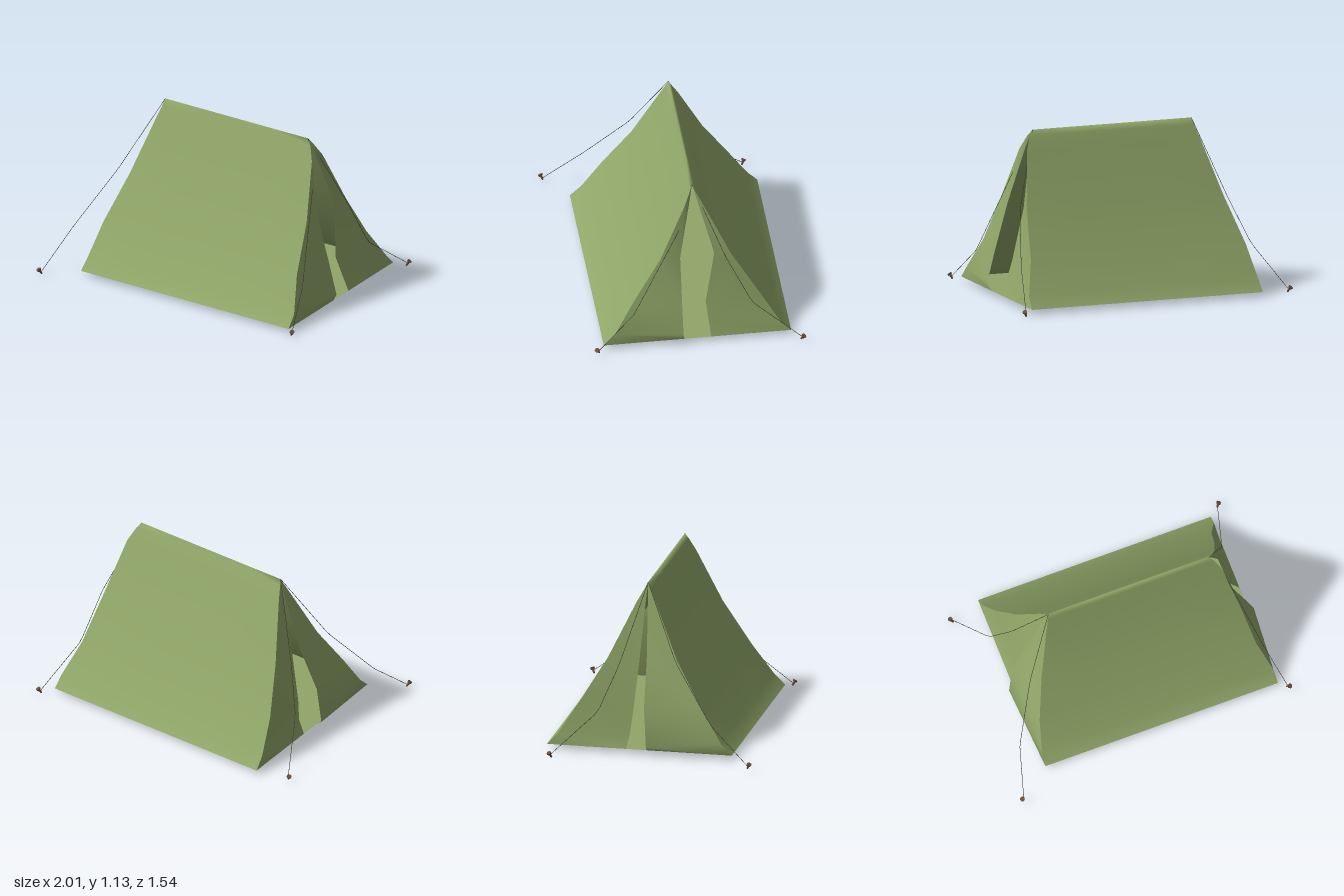
import * as THREE from 'three';

const canvas = new THREE.MeshStandardMaterial({ color: 0x90a668, side: THREE.DoubleSide });
const cord = new THREE.MeshStandardMaterial({ color: 0x3c3a30 });
const wood = new THREE.MeshStandardMaterial({ color: 0x6a4e3e });

// Cloth outline at each height, from the ground to the ridge
const Y = [0.035, 0.11, 0.33, 0.63, 1.0, 1.09, 1.13];
const X_RIGHT = [-0.76, -0.755, -0.72, -0.635, -0.535, -0.51, -0.5];
const X_LEFT = [0.905, 0.9, 0.83, 0.785, 0.715, 0.675, 0.645];
const Z_FRONT = [0.585, 0.51, 0.37, 0.185, 0.015, -0.027, -0.045];
const Z_REAR = [-0.68, -0.61, -0.47, -0.29, -0.115, -0.065, -0.045];

const edge = (xs, zs) => Y.map((y, i) => [xs[i], y, zs[i]]);

// Smooth sheet of cloth between two edges, each column split into equal steps
function sheet(name, a, b, steps) {
  const pos = [], index = [], n = steps + 1;
  a.forEach((p, i) => {
    for (let j = 0; j <= steps; j++) {
      for (let k = 0; k < 3; k++) pos.push(p[k] + (b[i][k] - p[k]) * j / steps);
    }
  });
  for (let i = 0; i < a.length - 1; i++) {
    for (let j = 0; j < steps; j++) {
      const o = i * n + j;
      index.push(o, o + 1, o + n, o + 1, o + n + 1, o + n);
    }
  }
  const g = new THREE.BufferGeometry();
  g.setAttribute('position', new THREE.Float32BufferAttribute(pos, 3));
  g.setIndex(index);
  g.computeVertexNormals();
  const mesh = new THREE.Mesh(g, canvas);
  mesh.name = name;
  return mesh;
}

// Guy rope through a few points, ending at a small wooden peg
function guyLine(name, points, peg) {
  const group = new THREE.Group();
  group.name = name;
  const pts = points.map(p => new THREE.Vector3(...p));
  const path = new THREE.CurvePath();
  for (let i = 0; i < pts.length - 1; i++) path.add(new THREE.LineCurve3(pts[i], pts[i + 1]));
  const rope = new THREE.Mesh(new THREE.TubeGeometry(path, 24, 0.0018, 5), cord);
  rope.name = 'rope';

  const stake = new THREE.Group();
  stake.name = 'peg';
  const shaft = new THREE.Mesh(new THREE.CylinderGeometry(0.009, 0.006, 0.036, 7), wood);
  shaft.name = 'pegShaft';
  const head = new THREE.Mesh(new THREE.CylinderGeometry(0.017, 0.014, 0.013, 8), wood);
  head.name = 'pegHead';
  head.position.y = 0.018;
  stake.add(shaft, head);
  stake.position.set(...peg);
  // lean the peg away from the tent
  const out = new THREE.Vector3(Math.sign(peg[0]) * 0.5, 1, Math.sign(peg[2]) * 0.5).normalize();
  stake.quaternion.setFromUnitVectors(new THREE.Vector3(0, 1, 0), out);
  group.add(rope, stake);
  return group;
}

export function createModel() {
  const tent = new THREE.Group();
  tent.name = 'tent';

  const rightFront = edge(X_RIGHT, Z_FRONT), rightRear = edge(X_RIGHT, Z_REAR);
  const leftFront = edge(X_LEFT, Z_FRONT), leftRear = edge(X_LEFT, Z_REAR);

  // Roof: one sheet up the front slope, over the ridge and down the rear
  const over = (f, r) => [...f, ...r.slice(0, -1).reverse()];
  tent.add(sheet('roof', over(rightFront, rightRear), over(leftFront, leftRear), 4));

  // Groundsheet
  tent.add(sheet('groundsheet', [rightRear[0], rightFront[0]], [leftRear[0], leftFront[0]], 1));

  // Loose inner edges of the four door flaps, from the ground to the ridge
  const ridgeL = [0.645, 1.13, -0.045], ridgeR = [-0.5, 1.13, -0.045];
  const leftFrontOpen = [[0.905, 0.035, 0.04], [0.935, 0.09, 0.05], [0.88, 0.3, 0.052],
    [0.785, 0.63, 0.053], [0.69, 1.0, -0.02], [0.66, 1.09, -0.038], ridgeL];
  const leftRearOpen = [[0.905, 0.035, -0.14], [0.87, 0.13, -0.13], [0.82, 0.27, -0.115],
    [0.765, 0.63, -0.18], [0.68, 1.0, -0.08], [0.655, 1.09, -0.056], ridgeL];
  const rightFrontOpen = [[-0.76, 0.035, 0], [-0.8, 0.065, 0.005], [-0.775, 0.33, -0.013],
    [-0.635, 0.63, -0.025], [-0.53, 1.0, -0.04], [-0.51, 1.09, -0.043], ridgeR];
  const rightRearOpen = [[-0.76, 0.035, -0.14], [-0.71, 0.12, -0.125], [-0.69, 0.26, -0.108],
    [-0.62, 0.6, -0.08], [-0.53, 1.0, -0.055], [-0.51, 1.09, -0.048], ridgeR];
  tent.add(
    sheet('leftFrontFlap', leftFront, leftFrontOpen, 1),
    sheet('leftRearFlap', leftRearOpen, leftRear, 1),
    sheet('rightFrontFlap', rightFrontOpen, rightFront, 1),
    sheet('rightRearFlap', rightRear, rightRearOpen, 1),
  );

  // Guy lines from the ridge ends
  tent.add(
    guyLine('leftFrontGuyLine', [ridgeL, [0.75, 0.82, 0.06], [0.88, 0.25, 0.38], [0.96, 0.03, 0.63]], [0.96, 0.032, 0.63]),
    guyLine('leftRearGuyLine', [ridgeL, [0.82, 0.63, -0.25], [0.88, 0.28, -0.42], [0.975, 0.03, -0.74]], [0.98, 0.022, -0.745]),
    guyLine('rightFrontGuyLine', [ridgeR, [-0.72, 0.65, 0.19], [-0.9, 0.28, 0.47], [-0.975, 0.035, 0.74]], [-0.98, 0.035, 0.745]),
    guyLine('rightRearGuyLine', [ridgeR, [-0.7, 0.6, -0.2], [-0.82, 0.3, -0.32], [-0.97, 0.03, -0.61]], [-0.975, 0.024, -0.61]),
  );
  return tent;
}
